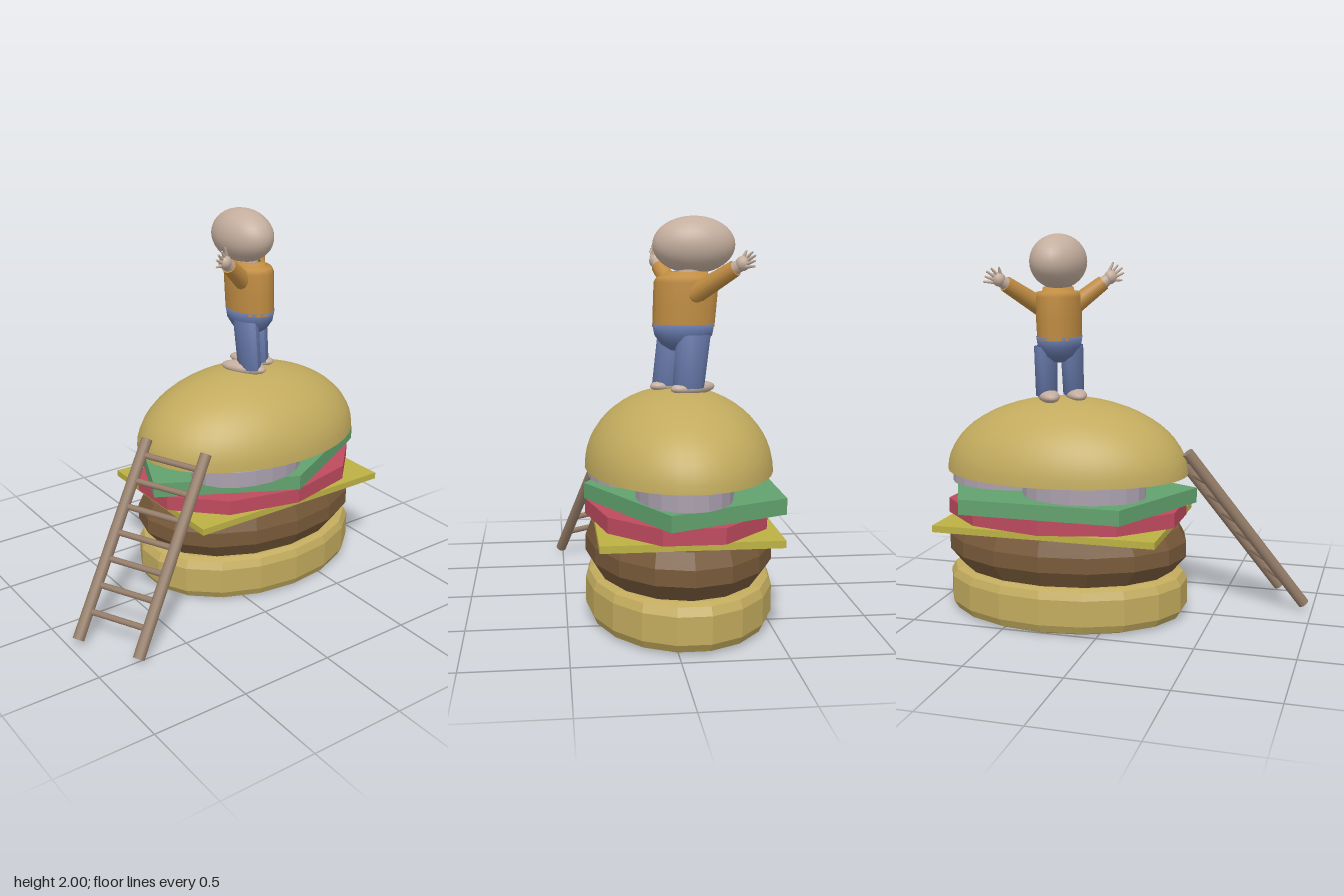
import * as THREE from 'three';

const COLORS = {
  bun: 0xc2ab5e, patty: 0x785a3a, cheese: 0xbcb044, tomato: 0xbe4a5e, lettuce: 0x62a26e,
  onion: 0xaaa0ae, wood: 0x947c68, skin: 0xc4ae9e, shirt: 0xc08c42, jeans: 0x6274a4,
};

const V = (x, y, z) => new THREE.Vector3(x, y, z);

function createMesh(name, geometry, color, flat = false) {
  const material = new THREE.MeshStandardMaterial({ color, flatShading: flat });
  const mesh = new THREE.Mesh(geometry, material);
  mesh.name = name;
  return mesh;
}

// Tapered round bar between two points
function bar(name, a, b, r0, r1, color, sides = 12) {
  const mesh = createMesh(name, new THREE.CylinderGeometry(r1, r0, a.distanceTo(b), sides), color);
  mesh.position.copy(a).lerp(b, 0.5);
  mesh.quaternion.setFromUnitVectors(V(0, 1, 0), b.clone().sub(a).normalize());
  return mesh;
}

function ellipsoid(name, center, radii, color, w = 24, h = 16) {
  const geometry = new THREE.SphereGeometry(1, w, h);
  geometry.scale(radii.x, radii.y, radii.z);
  const mesh = createMesh(name, geometry, color);
  mesh.position.copy(center);
  return mesh;
}

// Closed turned solid with an oval footprint
function oval(name, profile, rx, rz, sides, color, flat) {
  const geometry = new THREE.LatheGeometry(profile.map(([r, y]) => new THREE.Vector2(r, y)), sides);
  geometry.scale(rx, 1, rz);
  return createMesh(name, geometry, color, flat);
}

const slab = (y0, y1) => [[0, y0], [1, y0], [1, y1], [0, y1]];

function createBurger() {
  const group = new THREE.Group();
  group.name = 'burger';
  const RX = 0.655, RZ = 0.47;

  group.add(oval('bottomBun', [[0, 0], [0.9, 0], [0.96, 0.014], [1, 0.055], [1, 0.19],
    [0.965, 0.23], [0.91, 0.243], [0, 0.243]], RX, RZ, 18, COLORS.bun, true));
  group.add(oval('patty', [[0, 0.24], [0.88, 0.24], [1, 0.33], [1, 0.41], [0.94, 0.485], [0, 0.485]],
    RX, RZ, 16, COLORS.patty, true));

  const cheese = createMesh('cheeseSlice', new THREE.BoxGeometry(1.18, 0.035, 0.86), COLORS.cheese, true);
  cheese.position.y = 0.502;
  group.add(cheese);

  group.add(oval('tomato', slab(0.52, 0.598), RX, RZ, 10, COLORS.tomato, true));

  // Five-sided leaf with its point at the front
  const lettuce = oval('lettuce', slab(0.598, 0.677), 0.72, 0.522, 5, COLORS.lettuce, true);
  lettuce.position.z = -0.047;
  group.add(lettuce);

  // Three overlapping onion slices
  [[-0.165, 0.215], [0.325, 0.01], [-0.16, -0.2]].forEach(([x, z], i) => {
    const slice = oval('onionSlice' + (i + 1), slab(0.677, 0.762 - i * 0.001), 0.325, 0.233, 20, COLORS.onion, true);
    slice.position.set(x, 0, z);
    group.add(slice);
  });

  // Domed top bun with a flat underside
  const dome = [[0, 0.76]];
  for (let i = 0; i <= 14; i++) {
    const a = (i / 14) * Math.PI / 2;
    dome.push([i === 14 ? 0 : Math.cos(a), 0.76 + 0.395 * Math.sin(a)]);
  }
  // Underside is separate so the rim stays crisp
  group.add(oval('topBun', dome.slice(1), RX, RZ, 40, COLORS.bun));
  group.add(oval('topBunBase', [[0, 0.76], [1, 0.76]], RX, RZ, 40, COLORS.bun));

  group.position.set(0.29, 0, -0.07);
  return group;
}

function createLadder() {
  const group = new THREE.Group();
  group.name = 'ladder';
  const feet = [V(-0.955, 0.035, 0.21), V(-0.785, 0.025, 0.51)];
  const tops = [V(-0.365, 0.885, -0.06), V(-0.2, 0.865, 0.24)];
  feet.forEach((foot, i) => group.add(bar(i ? 'frontRail' : 'backRail', foot, tops[i], 0.03, 0.03, COLORS.wood)));
  for (let i = 0; i < 7; i++) {
    const t = 0.14 + i * 0.13;
    const ends = feet.map((foot, k) => foot.clone().lerp(tops[k], t));
    group.add(bar('rung' + (i + 1), ends[0], ends[1], 0.016, 0.016, COLORS.wood, 8));
  }
  return group;
}

function createArm(name, shoulder, wrist) {
  const group = new THREE.Group();
  group.name = name;
  const dir = wrist.clone().sub(shoulder).normalize();
  const side = V(-dir.y, Math.hypot(dir.x, dir.z) * Math.sign(dir.x), 0).normalize();
  side.addScaledVector(dir, -side.dot(dir)).normalize();
  const along = (d, s = 0) => wrist.clone().addScaledVector(dir, d).addScaledVector(side, s);

  group.add(bar('sleeve', shoulder, wrist, 0.05, 0.04, COLORS.shirt));
  group.add(ellipsoid('shoulder', shoulder, V(0.05, 0.05, 0.05), COLORS.shirt, 14, 10));
  group.add(bar('wrist', along(-0.01), along(0.035), 0.033, 0.029, COLORS.skin));
  group.add(ellipsoid('palm', along(0.045), V(0.034, 0.036, 0.034), COLORS.skin, 14, 10));
  // Four spread fingers and a thumb
  for (let i = -2; i <= 2; i++) {
    const reach = i === 2 ? 0.085 : 0.125 - Math.abs(i) * 0.01;
    group.add(bar('finger', along(0.05, i * 0.011), along(reach, i * 0.026), 0.011, 0.005, COLORS.skin, 7));
  }
  return group;
}

function createPerson() {
  const group = new THREE.Group();
  group.name = 'person';

  group.add(ellipsoid('head', V(0.3, 1.86, -0.145), V(0.14, 0.14, 0.205), COLORS.skin, 32, 20));
  group.add(bar('neck', V(0.31, 1.68, -0.115), V(0.305, 1.77, -0.13), 0.065, 0.065, COLORS.skin, 16));

  // Shirt leans back slightly from waist to collar
  const torso = oval('torso', [[0.98, 1.46], [1, 1.56], [1.02, 1.68], [0.94, 1.705], [0.7, 1.71], [0.66, 1.73], [0.5, 1.73]],
    0.114, 0.158, 16, COLORS.shirt);
  const p = torso.geometry.attributes.position;
  for (let i = 0; i < p.count; i++) p.setZ(i, p.getZ(i) - (p.getY(i) - 1.46) * 0.06);
  torso.material.side = THREE.DoubleSide;
  torso.position.set(0.315, 0, -0.093);
  group.add(torso);

  // Rounded seat of the trousers
  const hips = oval('hips', [[0, 1.335], [0.4, 1.345], [0.72, 1.375], [0.93, 1.42], [1, 1.475], [0, 1.475]],
    0.117, 0.155, 20, COLORS.jeans);
  hips.position.set(0.317, 0, -0.093);
  group.add(hips);

  // Legs and shoes, [name, foot x, foot z, hip x, hip z]
  [['right', 0.265, -0.02, 0.262, -0.055], ['left', 0.385, -0.11, 0.378, -0.135]].forEach(([s, fx, fz, hx, hz]) => {
    const leg = oval(s + 'Leg', [[0, 0], [0.92, 0], [1, 0.26], [0, 0.26]], 0.058, 0.085, 14, COLORS.jeans);
    const q = leg.geometry.attributes.position;
    for (let i = 0; i < q.count; i++) {
      const t = q.getY(i) / 0.26;
      q.setX(i, q.getX(i) + (hx - fx) * t);
      q.setZ(i, q.getZ(i) + (hz - fz) * t);
    }
    leg.geometry.computeVertexNormals();
    leg.position.set(fx, 1.165, fz);
    group.add(leg);

    const shoe = ellipsoid(s + 'Shoe', V(fx - 0.02, 1.163, fz - 0.025), V(0.055, 0.035, 0.13), COLORS.skin, 18, 12);
    shoe.rotation.y = 0.5;
    group.add(shoe);
  });

  group.add(createArm('rightArm', V(0.25, 1.63, -0.055), V(0.105, 1.75, 0.005)));
  group.add(createArm('leftArm', V(0.395, 1.625, -0.14), V(0.525, 1.75, -0.31)));
  return group;
}

export function createModel() {
  const model = new THREE.Group();
  model.name = 'burgerWithClimber';
  model.add(createBurger(), createLadder(), createPerson());
  return model;
}
